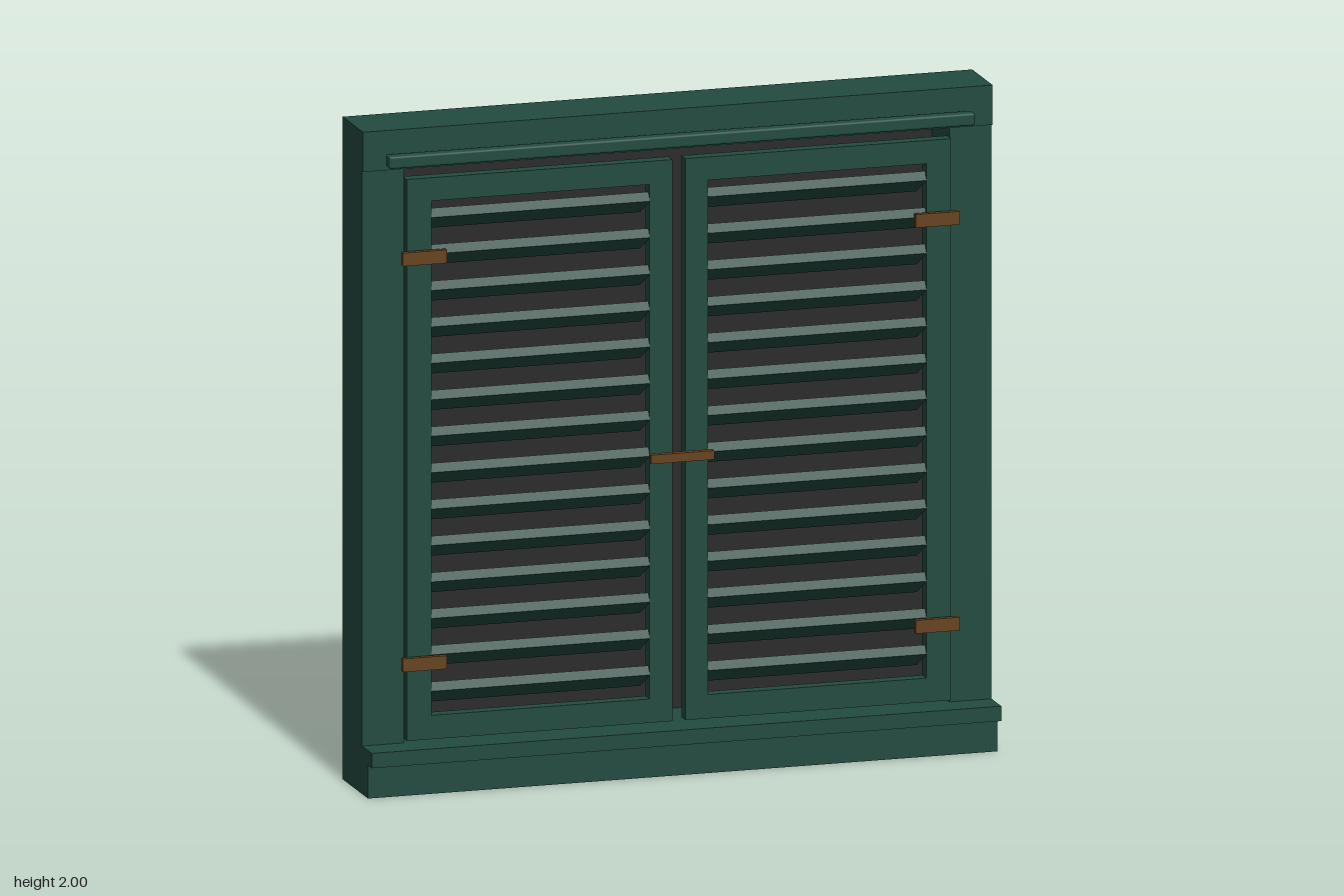
import * as THREE from 'three';
import { RoundedBoxGeometry } from 'three/addons/geometries/RoundedBoxGeometry.js';

export function createModel() {
  const root = new THREE.Group();
  root.name = 'shutteredWindow';

  const green = new THREE.MeshStandardMaterial({ color: 0x234b40 });
  green.name = 'darkGreenPaint';
  const dark = new THREE.MeshStandardMaterial({ color: 0x2a2a2b });
  dark.name = 'darkPanel';
  const bronze = new THREE.MeshStandardMaterial({ color: 0x66421f });
  bronze.name = 'bronze';

  // Box given by its lower and upper limits on each axis
  function box(name, mat, [x0, x1], [y0, y1], [z0, z1], parent = root) {
    const mesh = new THREE.Mesh(new THREE.BoxGeometry(x1 - x0, y1 - y0, z1 - z0), mat);
    mesh.position.set((x0 + x1) / 2, (y0 + y1) / 2, (z0 + z1) / 2);
    mesh.name = name;
    parent.add(mesh);
    return mesh;
  }

  // Outer frame
  const W = 0.967, BACK = -0.14;
  box('headBeam', green, [-W, W], [1.88, 2], [BACK, 0.06]);
  box('sillBlock', green, [-W, W], [0, 0.1], [BACK, 0.108]);
  box('sillLedge', green, [-W, W], [0.1, 0.145], [BACK, 0.145]);
  box('leftJamb', green, [0.838, W], [0.145, 1.88], [BACK, 0.05]);
  box('rightJamb', green, [-W, -0.838], [0.145, 1.88], [BACK, 0.05]);

  // Backing panel, just proud of the frame's back
  box('backPanel', dark, [-0.87, 0.87], [0.11, 1.92], [BACK - 0.001, -0.12]);

  // Drip rail in front of the head
  const rail = new THREE.Mesh(new RoundedBoxGeometry(1.8, 0.038, 0.038, 2, 0.007), green);
  rail.position.set(0, 1.912, 0.087);
  rail.name = 'dripRail';
  root.add(rail);

  // Louvred shutters, one for each side
  const TILT = Math.PI / 6, PITCH = 0.11, Z = [0.03, 0.07];
  const slatGeometry = new THREE.BoxGeometry(0.67, 0.029, 0.11);
  for (const side of [-1, 1]) {
    const shutter = new THREE.Group();
    shutter.name = side > 0 ? 'leftShutter' : 'rightShutter';
    root.add(shutter);
    const span = (a, b) => (side > 0 ? [a, b] : [-b, -a]);

    box('innerStile', green, span(0.02, 0.09), [0.155, 1.85], Z, shutter);
    box('outerStile', green, span(0.76, 0.836), [0.155, 1.85], Z, shutter);
    box('topRail', green, span(0.09, 0.76), [1.78, 1.85], Z, shutter);
    box('bottomRail', green, span(0.09, 0.76), [0.155, 0.227], Z, shutter);

    // Slats with their front edge raised
    for (let i = 0; i < 14; i++) {
      const slat = new THREE.Mesh(slatGeometry, green);
      slat.position.set(side * 0.425, 1.715 - i * PITCH, 0.017);
      slat.rotation.x = -TILT;
      slat.name = 'slat';
      shutter.add(slat);
    }

    // Hinges
    for (const y of [0.39, 1.615]) {
      box('hinge', bronze, span(0.72, 0.855), [y - 0.02, y + 0.02], [0.078, 0.095], shutter);
    }
  }

  // Latch across the two shutters
  box('latch', bronze, [-0.097, 0.097], [0.945, 0.972], [0.088, 0.108]);

  return root;
}
